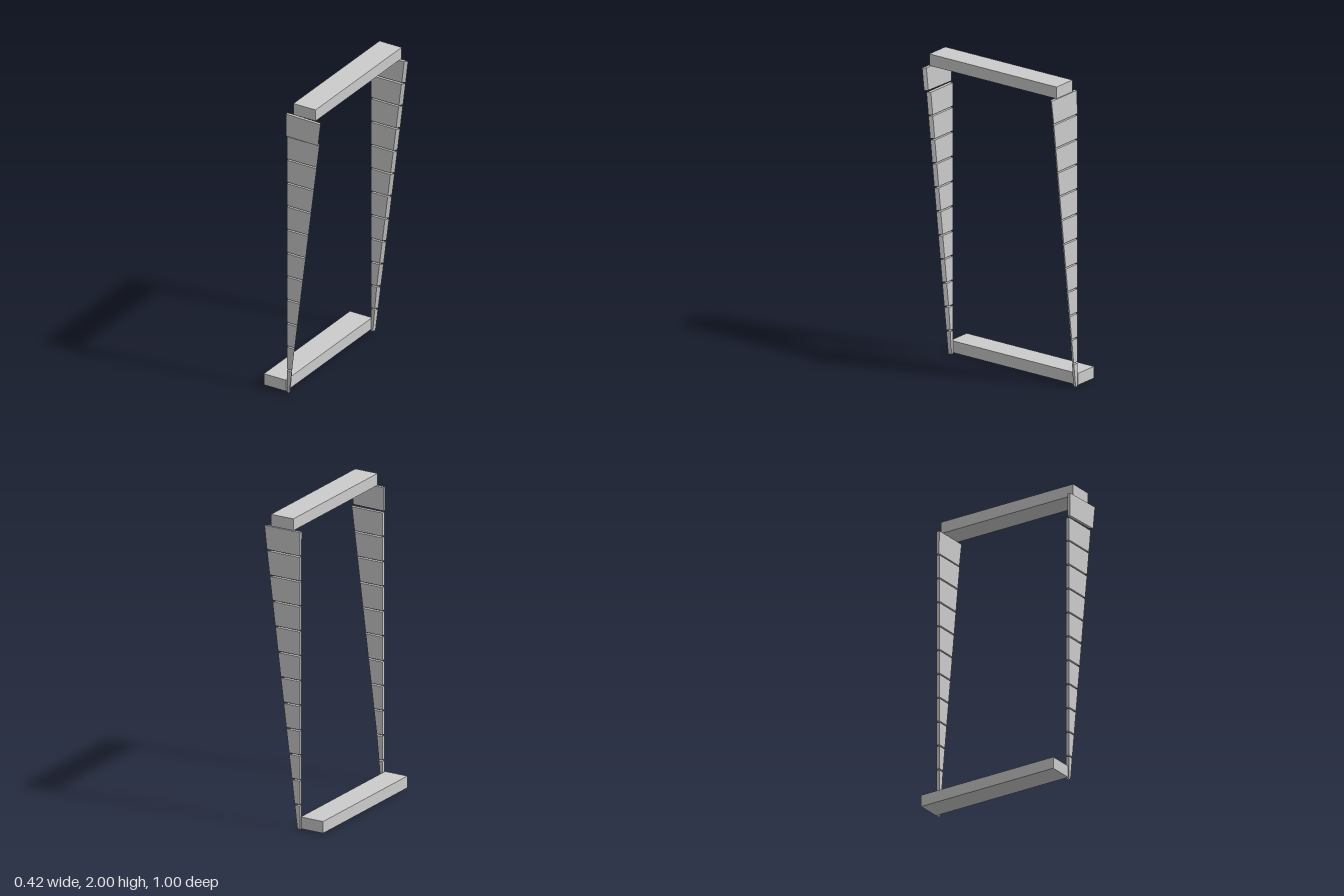
import * as THREE from 'three';

const material = new THREE.MeshStandardMaterial({ color: 0xcccccc });

// Lengthwise beam between the two panel stacks
function beam(name, x, y) {
  const mesh = new THREE.Mesh(new THREE.BoxGeometry(0.16, 0.076, 0.977), material);
  mesh.name = name;
  mesh.position.set(x, y, -0.0085);
  return mesh;
}

// One tapered slab: straight left edge, slanted right edge bevelled towards the inside.
// zAt(x) gives the outer face; side is +1 at the front and -1 at the back.
function panel(bottom, top, side, thickness, zAt) {
  const geometry = new THREE.BoxGeometry(1, 1, 1);
  const p = geometry.attributes.position;
  for (let i = 0; i < p.count; i++) {
    const y = p.getY(i) > 0 ? top : bottom;
    const outer = p.getZ(i) * side > 0;
    const edge = -0.03 + 0.1238 * y;
    const bevel = outer ? 0 : Math.min(0.016, (edge + 0.047) * 0.3);
    const x = p.getX(i) > 0 ? edge - bevel : -0.047;
    p.setXYZ(i, x, y, zAt(x, y) - (outer ? 0 : side * thickness));
  }
  geometry.computeVertexNormals();
  return new THREE.Mesh(geometry, material);
}

// Stack of twelve slabs separated by narrow gaps
function panelStack(name, side) {
  const group = new THREE.Group();
  group.name = name;
  const count = 12, pitch = 0.1605;
  for (let i = 0; i < count; i++) {
    const bottom = 0.003 + i * pitch;
    const isTop = i === count - 1;
    let zAt = () => (side > 0 ? 0.481 : -0.498);
    // The top slab is set slightly askew
    if (isTop && side > 0) zAt = (x) => 0.49 + 0.035 * (x + 0.047);
    if (isTop && side < 0) zAt = (x, y) => -0.498 + 0.02 * (y - bottom);
    const mesh = panel(bottom, bottom + 0.151, side, isTop ? 0.02 : 0.022, zAt);
    mesh.name = `panel${i + 1}`;
    group.add(mesh);
  }
  return group;
}

export function createModel() {
  const model = new THREE.Group();
  model.name = 'panelFrame';
  model.add(
    beam('topBeam', 0.08, 1.962),
    beam('bottomBeam', -0.133, 0.047),
    panelStack('frontPanels', 1),
    panelStack('backPanels', -1),
  );
  return model;
}
